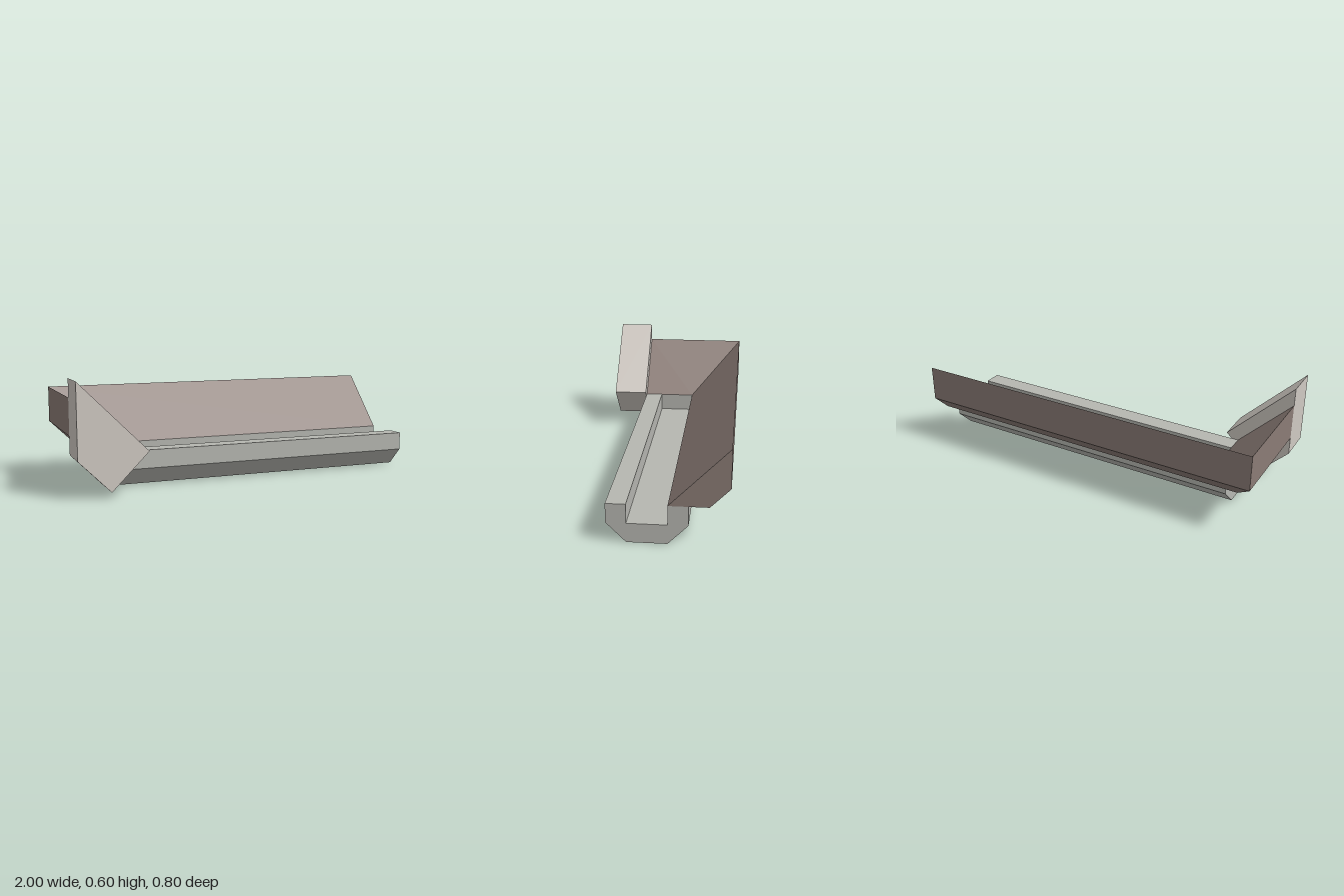
import * as THREE from 'three';

const material = (color) => new THREE.MeshStandardMaterial({ color, flatShading: true, roughness: 1 });

// Prism: outline in (x, y), extruded along z
function prism(points, depth) {
  const shape = new THREE.Shape(points.map(([x, y]) => new THREE.Vector2(x, y)));
  return new THREE.ExtrudeGeometry(shape, { depth, bevelEnabled: false });
}

// Mitred L-shaped wall: one profile (distance in from the outer edge, height) at three stations
function mitredWall(profile) {
  const stations = [
    (d) => [1, -0.4 + d],
    (d) => [-1 + d, -0.4 + d],
    (d) => [-1 + d, 0.2],
  ];
  const n = profile.length, positions = [], index = [];
  for (const at of stations) {
    for (const [d, y] of profile) {
      const [x, z] = at(d);
      positions.push(x, y, z);
    }
  }
  for (let s = 0; s < stations.length - 1; s++) {
    for (let i = 0; i < n; i++) {
      const j = (i + 1) % n;
      const a = s * n + i, b = s * n + j, c = b + n, d = a + n;
      index.push(a, b, c, a, c, d);
    }
  }
  const last = (stations.length - 1) * n;
  for (let i = 1; i < n - 1; i++) {
    index.push(0, i + 1, i, last, last + i, last + i + 1);
  }
  const geometry = new THREE.BufferGeometry();
  geometry.setAttribute('position', new THREE.Float32BufferAttribute(positions, 3));
  geometry.setIndex(index);
  const flat = geometry.toNonIndexed();
  flat.computeVertexNormals();
  return flat;
}

export function createModel() {
  const group = new THREE.Group();
  const add = (name, geometry, mat) => {
    const mesh = new THREE.Mesh(geometry, mat);
    mesh.name = name;
    group.add(mesh);
    return mesh;
  };
  const trough = material(0xb6b7b1);

  // Trough with an open channel, closed by a solid block at its right end
  const keel = [[-0.2, 0.2], [-0.2, 0.1], [-0.1, 0], [0.1, 0], [0.2, 0.1], [0.2, 0.2]];
  const groove = [[0.1, 0.2], [0.1, 0.1], [-0.1, 0.1], [-0.1, 0.2]];
  add('trough', prism([...keel, ...groove], 1.7).rotateY(Math.PI / 2), trough).position.x = -0.7;
  add('troughEnd', prism(keel, 0.1).rotateY(Math.PI / 2), trough).position.x = -0.8;

  // Sloping wall along the back and the right end
  add('slopedWall', mitredWall([[0.3, 0.2], [0, 0.5], [0, 0.3], [0.1, 0.2]]), material(0x8b7c76));

  // Slanted block at the front corner
  const slab = [[-1, 0.6], [-1, 0.2], [-0.83, 0.03], [-0.63, 0.23]];
  add('cornerBlock', prism(slab, 0.2), material(0xcfc9c2)).position.z = 0.2;

  return group;
}
